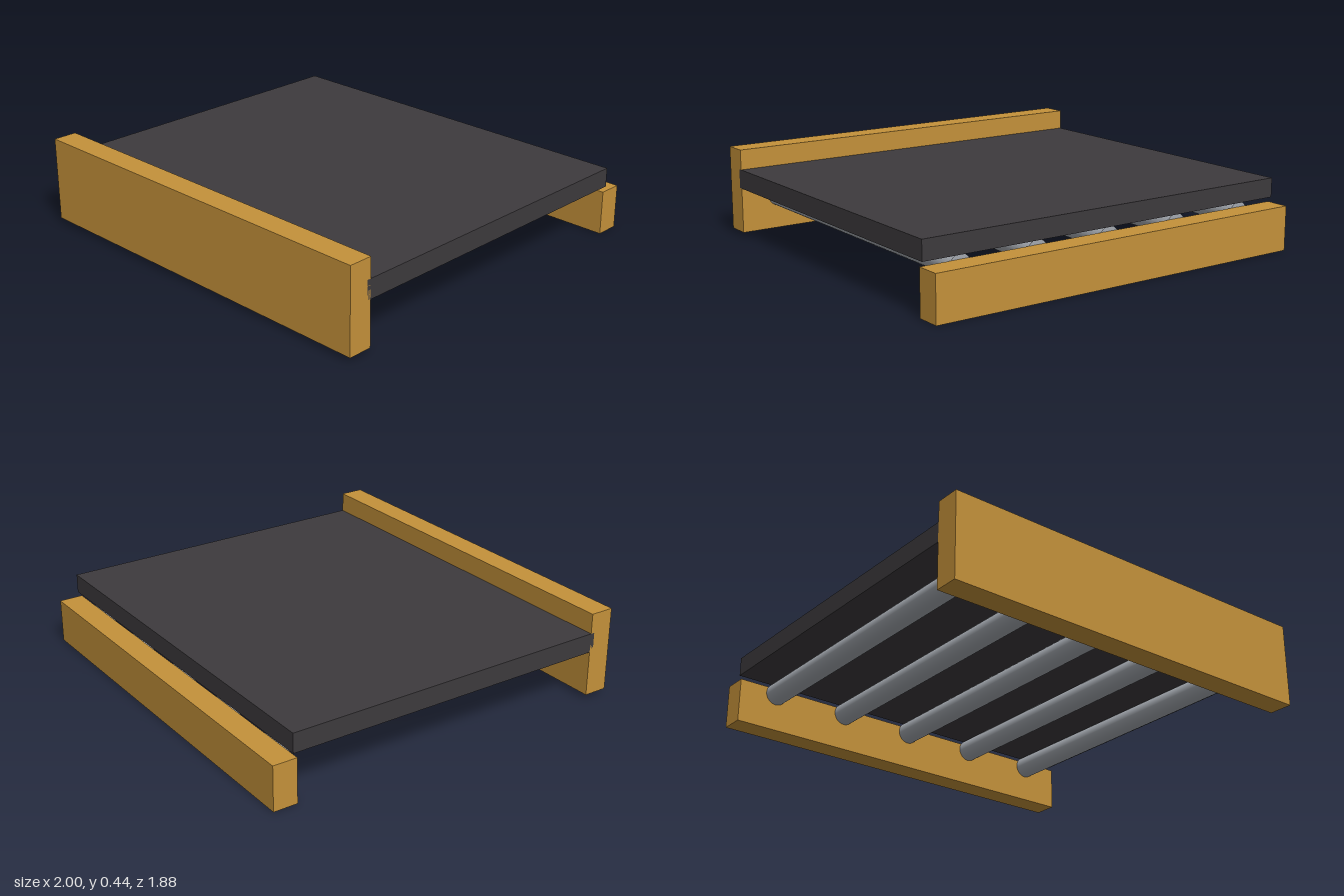
import * as THREE from 'three';

export function createModel() {
  const group = new THREE.Group();
  const wood = new THREE.MeshStandardMaterial({ color: 0xc4913a });
  const dark = new THREE.MeshStandardMaterial({ color: 0x3d3a3d });
  const metal = new THREE.MeshStandardMaterial({ color: 0xa4a9b0 });

  // Full-width board spanning the given heights and depths
  function addBoard(name, y0, y1, z0, z1, material) {
    const mesh = new THREE.Mesh(new THREE.BoxGeometry(2, y1 - y0, z1 - z0), material);
    mesh.position.set(0, (y0 + y1) / 2, (z0 + z1) / 2);
    mesh.name = name;
    group.add(mesh);
  }

  // Tall front rail, low back rail and the mattress slab
  addBoard('frontRail', 0.02, 0.44, 0.82, 0.94, wood);
  addBoard('backRail', 0, 0.22, -0.94, -0.82, wood);
  addBoard('slab', 0.245, 0.34, -0.84, 0.84, dark);

  // Five round bars under the slab, running from rail to rail
  const barGeometry = new THREE.CylinderGeometry(0.055, 0.055, 1.64, 32).rotateX(Math.PI / 2);
  for (let i = 0; i < 5; i++) {
    const bar = new THREE.Mesh(barGeometry, metal);
    bar.position.set(-0.8 + i * 0.4, 0.19, 0);
    bar.name = `supportBar${i + 1}`;
    group.add(bar);
  }

  return group;
}
